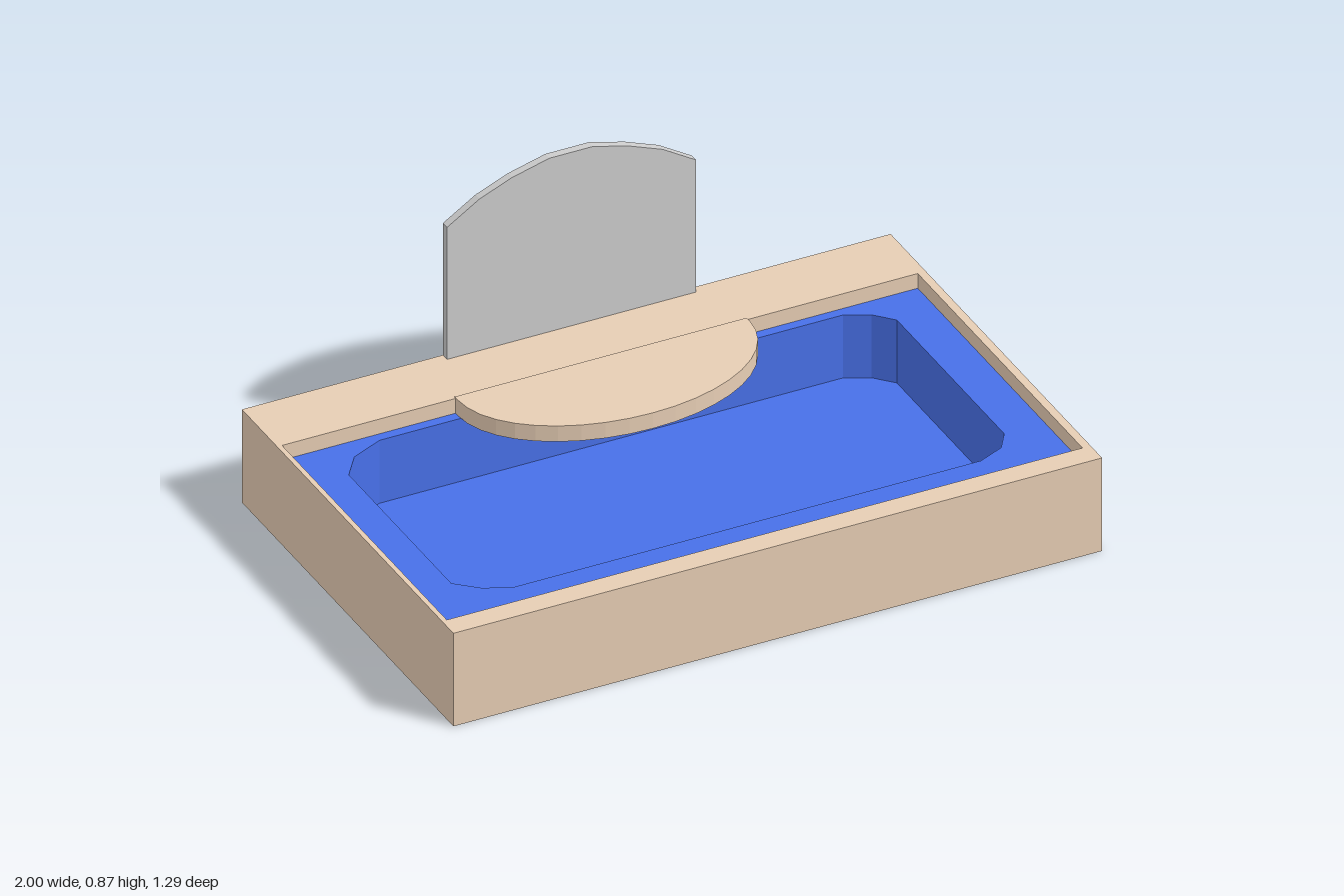
import * as THREE from 'three';

const tan = new THREE.MeshStandardMaterial({ color: 0xe6cdb4, flatShading: true });
const blue = new THREE.MeshStandardMaterial({ color: 0x4870e8, flatShading: true });
const grey = new THREE.MeshStandardMaterial({ color: 0xcccccc, flatShading: true });

// Points given as [x, z] on the ground plane
const toPoints = (pts) => pts.map(([x, z]) => new THREE.Vector2(x, -z));
const rect = (x0, x1, z0, z1) => [[x0, z1], [x1, z1], [x1, z0], [x0, z0]];

// Upright slab from y0 to y1 with an optional hole
function slab(name, outline, y0, y1, material, hole) {
  const shape = new THREE.Shape(toPoints(outline));
  if (hole) shape.holes.push(new THREE.Path(toPoints(hole)));
  const geo = new THREE.ExtrudeGeometry(shape, { depth: y1 - y0, bevelEnabled: false });
  geo.rotateX(-Math.PI / 2);
  geo.translate(0, y0, 0);
  const mesh = new THREE.Mesh(geo, material);
  mesh.name = name;
  return mesh;
}

export function createModel() {
  const group = new THREE.Group();
  const outer = rect(-1, 1, -0.645, 0.645);
  const recess = rect(-0.985, 0.975, -0.43, 0.575);
  const basin = [
    [-0.855, -0.28], [-0.855, 0.345], [-0.79, 0.405], [-0.71, 0.44],
    [0.73, 0.44], [0.81, 0.405], [0.85, 0.345], [0.85, -0.31],
    [0.8, -0.365], [0.73, -0.4], [-0.7, -0.4], [-0.8, -0.355],
  ];

  // Outer box: closed bottom and raised surround
  group.add(slab('bottomPanel', outer, 0, 0.045, tan));
  group.add(slab('surround', outer, 0.045, 0.303, tan, recess));

  // Blue liner: shelf around the basin, and the basin floor
  group.add(slab('basinShelf', recess, 0.05, 0.255, blue, basin));
  const floor = new THREE.Mesh(new THREE.ShapeGeometry(new THREE.Shape(toPoints(basin))), blue);
  floor.rotation.x = -Math.PI / 2;
  floor.position.y = 0.05;
  floor.name = 'basinFloor';
  group.add(floor);

  // Half-oval platform reaching over the basin
  const oval = [[-0.45, -0.435]];
  const n = 20;
  for (let i = 0; i <= n; i++) {
    const a = Math.PI * (1 - i / n);
    oval.push([0.45 * Math.cos(a), -0.415 + 0.3 * Math.sin(a)]);
  }
  oval.push([0.45, -0.435]);
  group.add(slab('platform', oval, 0.255, 0.306, tan));

  // Arched panel standing on the back edge
  const arch = [
    [-0.38, 0.3], [0.388, 0.3], [0.388, 0.733], [0.285, 0.797], [0.18, 0.838],
    [0.07, 0.868], [-0.065, 0.868], [-0.18, 0.838], [-0.28, 0.797], [-0.38, 0.733],
  ].map(([x, y]) => new THREE.Vector2(x, y));
  const back = new THREE.Mesh(
    new THREE.ExtrudeGeometry(new THREE.Shape(arch), { depth: 0.025, bevelEnabled: false }), grey);
  back.position.z = -0.645;
  back.name = 'backPanel';
  group.add(back);

  return group;
}
